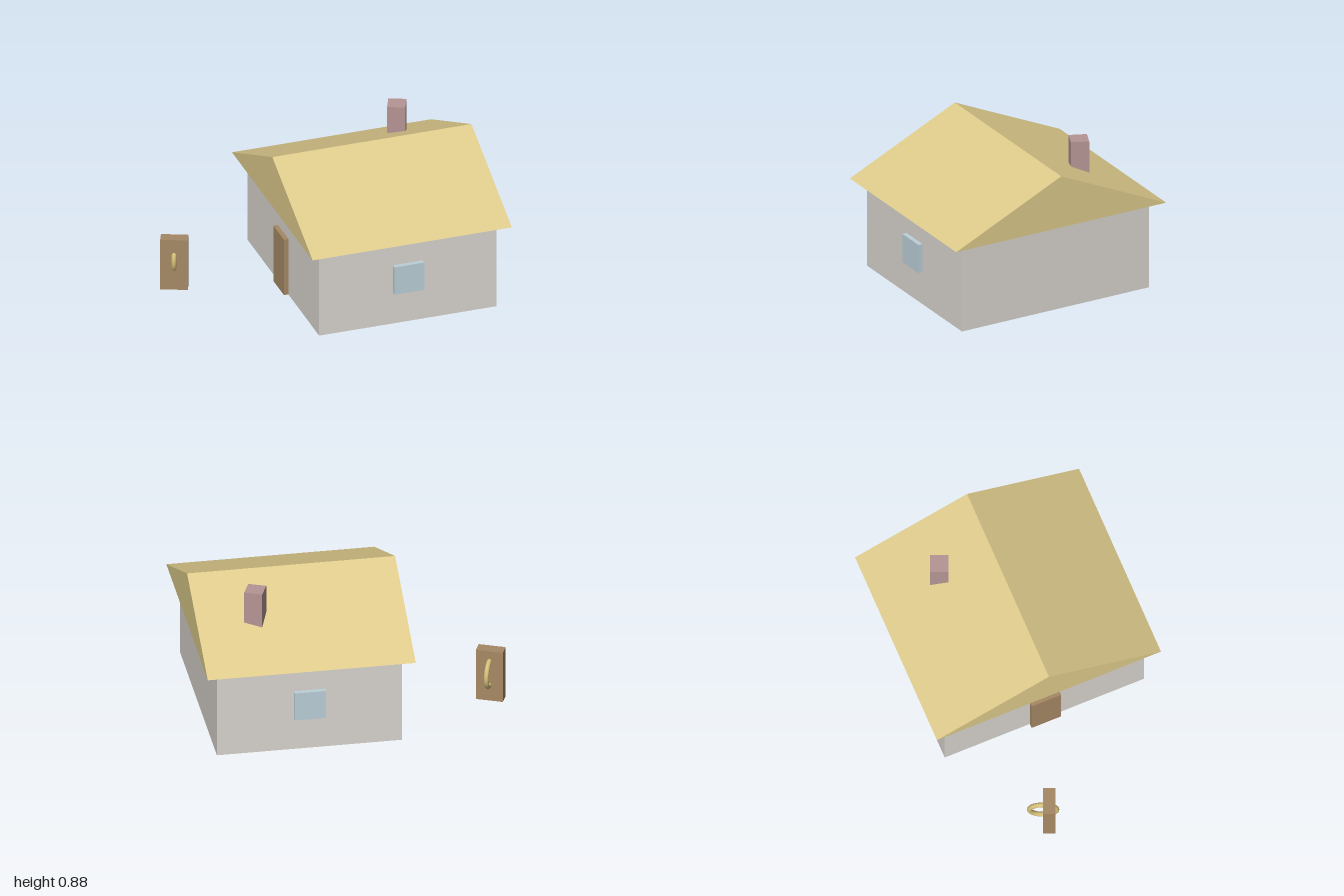
import * as THREE from 'three';

const paint = (name, color) => {
  const m = new THREE.MeshStandardMaterial({ color });
  m.name = name;
  return m;
};

export function createModel() {
  const plaster = paint('plaster', 0xdad5cf);
  const thatch = paint('thatch', 0xdecb8c);
  const wood = paint('wood', 0xa68965);
  const glass = paint('glass', 0xbcd0d9);
  const brick = paint('brick', 0xb69595);
  const brass = paint('brass', 0xd6bf7a);

  const model = new THREE.Group();
  model.name = 'cottage';

  const box = (parent, name, mat, w, h, d, x, y, z) => {
    const mesh = new THREE.Mesh(new THREE.BoxGeometry(w, h, d), mat);
    mesh.name = name;
    mesh.position.set(x, y, z);
    parent.add(mesh);
    return mesh;
  };

  // House, turned slightly about the vertical
  const house = new THREE.Group();
  house.name = 'house';
  house.position.set(0.179, 0, 0);
  house.rotation.y = 0.4;
  model.add(house);

  const W = 1.06, D = 1.22, H = 0.53, OUT = 0.027;
  box(house, 'walls', plaster, W, H, D, 0, H / 2, 0);

  // Gabled roof: triangle extruded along the ridge
  const roofW = 1.19, roofD = 1.37, roofH = 0.315;
  const gable = new THREE.Shape([
    new THREE.Vector2(-roofD / 2, 0),
    new THREE.Vector2(roofD / 2, 0),
    new THREE.Vector2(0, roofH),
  ]);
  const roofGeo = new THREE.ExtrudeGeometry(gable, { depth: roofW, bevelEnabled: false });
  roofGeo.translate(0, 0, -roofW / 2);
  roofGeo.rotateY(Math.PI / 2);
  const roof = new THREE.Mesh(roofGeo, thatch);
  roof.name = 'roof';
  roof.position.y = H;
  house.add(roof);

  // Door on one gable end, windows on the two long sides
  box(house, 'houseDoor', wood, OUT * 2, 0.354, 0.18, -W / 2, 0.178, 0);
  for (const s of [1, -1]) {
    box(house, s > 0 ? 'frontWindow' : 'backWindow', glass, 0.18, 0.174, OUT * 2, 0, 0.284, s * D / 2);
  }

  // Chimney, square to the world axes
  box(model, 'chimney', brick, 0.104, 0.32, 0.104, 0.296, 0.722, -0.388);

  // Free-standing door with a ring handle passing through it
  box(model, 'looseDoor', wood, 0.156, 0.316, 0.07, -0.922, 0.158, 0.235);
  const handle = new THREE.Mesh(new THREE.TorusGeometry(0.077, 0.014, 12, 40), brass);
  handle.name = 'doorHandle';
  handle.rotation.y = Math.PI / 2;
  handle.position.set(-0.922, 0.177, 0.2);
  model.add(handle);

  return model;
}
